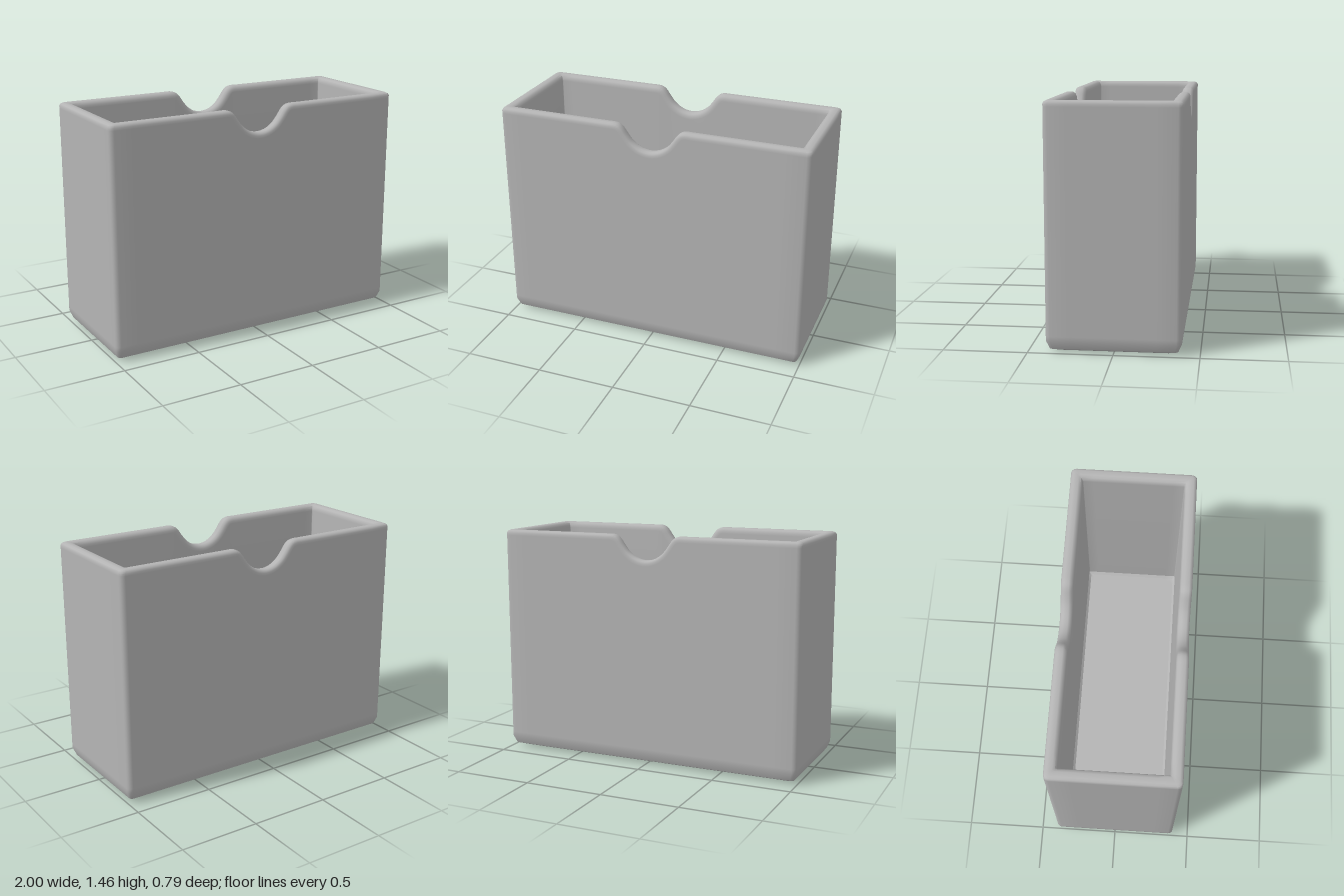
import * as THREE from 'three';
import { toCreasedNormals } from 'three/addons/utils/BufferGeometryUtils.js';

const HX = 1, HZ = 0.395, TOP = 1.46;

// Thumb notch along the rim, from left to right
const half = [[0.06, 1.317], [0.11, 1.348], [0.145, 1.388], [0.175, 1.43], [0.2, 1.452], [0.23, 1.46], [0.27, 1.46]];
const notch = new THREE.SplineCurve([
  ...half.map(([x, y]) => new THREE.Vector2(-x, y)).reverse(),
  new THREE.Vector2(0, 1.305),
  ...half.map(([x, y]) => new THREE.Vector2(x, y)),
]);

// Wall section, outside base to inside floor: inset plus height, or distance below the rim
const section = [
  { inset: 0.1, y: 0, flat: true }, { inset: 0.1, y: 0 }, { inset: 0.075, y: 0 },
  { inset: 0.02, y: 0.022 }, { inset: 0, y: 0.07 }, { inset: 0, y: 0.1 },
  { inset: 0, rim: 0.035 }, { inset: 0, rim: 0.02 }, { inset: 0.006, rim: 0.007 }, { inset: 0.02, rim: 0 },
  { inset: 0.05, rim: 0 }, { inset: 0.066, rim: 0.008 }, { inset: 0.074, rim: 0.024 }, { inset: 0.075, rim: 0.04 },
  { inset: 0.075, y: 0.12 }, { inset: 0.075, y: 0.095 }, { inset: 0.09, y: 0.08 }, { inset: 0.11, y: 0.08 },
  { inset: 0.11, y: 0.08, flat: true },
];

// Stations around the plan, running front, +x end, back, -x end
function makeStations() {
  const stations = [];
  const corner = (sx, sz, start) => {
    for (let k = 0; k <= 3; k++) stations.push({ sx, sz, angle: start + (k / 3) * Math.PI / 2 });
  };
  const longWall = (dir) => {
    stations.push({ x: -0.85 * dir, sz: dir });
    for (let k = 0; k <= 48; k++) {
      const t = dir > 0 ? k / 48 : 1 - k / 48;
      const p = notch.getPoint(t), tan = notch.getTangent(t);
      stations.push({ x: p.x, y: p.y, nx: -tan.y, ny: tan.x, sz: dir });
    }
    stations.push({ x: 0.85 * dir, sz: dir });
  };
  const endWall = (dir) => {
    stations.push({ z: 0.25 * dir, sx: dir }, { z: -0.25 * dir, sx: dir });
  };
  longWall(1);
  corner(1, 1, -Math.PI / 2);
  endWall(1);
  corner(1, -1, 0);
  longWall(-1);
  corner(-1, -1, Math.PI / 2);
  endWall(-1);
  corner(-1, 1, Math.PI);
  return stations;
}

function place(s, { inset, y, rim, flat }) {
  const r = Math.max(0.03 - inset * 0.4, 0.004);
  const isRim = rim !== undefined;
  let px, pz, py = isRim ? TOP - rim : y;
  if (s.angle !== undefined) {
    px = s.sx * (HX - inset - r) + r * Math.cos(s.angle);
    pz = s.sz * (HZ - inset - r) - r * Math.sin(s.angle);
  } else if (s.z !== undefined) {
    px = s.sx * (HX - inset);
    pz = s.z;
  } else {
    px = s.x;
    pz = s.sz * (HZ - inset);
    if (isRim && s.y !== undefined) {
      px -= s.nx * rim;
      py = s.y - s.ny * rim;
    }
  }
  return new THREE.Vector3(px, py, flat ? 0 : pz);
}

// Sweep the wall section around the plan; the flat rows close base and floor
function shellGeometry() {
  const stations = makeStations();
  const rows = section.map((p) => stations.map((s) => place(s, p)));
  const positions = [];
  const tri = (a, b, c) => {
    const area = b.clone().sub(a).cross(c.clone().sub(a)).length();
    if (area > 1e-9) for (const v of [a, b, c]) positions.push(v.x, v.y, v.z);
  };
  for (let j = 0; j < rows.length - 1; j++) {
    for (let i = 0; i < stations.length; i++) {
      const n = (i + 1) % stations.length;
      tri(rows[j][i], rows[j][n], rows[j + 1][n]);
      tri(rows[j][i], rows[j + 1][n], rows[j + 1][i]);
    }
  }
  const geometry = new THREE.BufferGeometry();
  geometry.setAttribute('position', new THREE.Float32BufferAttribute(positions, 3));
  return toCreasedNormals(geometry, 0.7);
}

export function createModel() {
  const group = new THREE.Group();
  group.name = 'openBox';
  const grey = new THREE.MeshStandardMaterial({ color: 0xb4b4b4 });
  grey.name = 'plain grey';
  const shell = new THREE.Mesh(shellGeometry(), grey);
  shell.name = 'boxShell';
  group.add(shell);
  return group;
}
